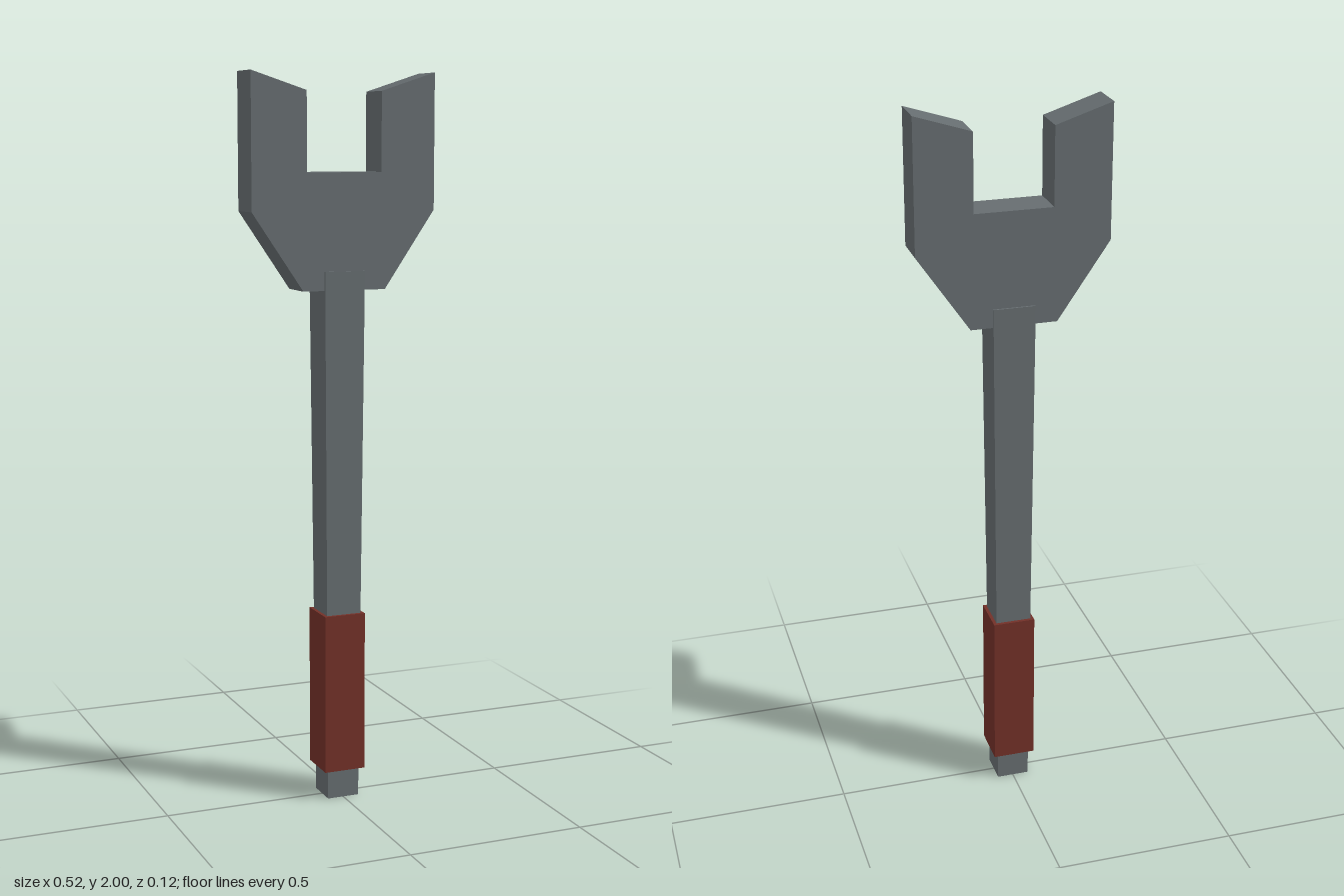
import * as THREE from 'three';

export function createModel() {
  const group = new THREE.Group();
  const steel = new THREE.MeshStandardMaterial({ name: 'steel grey', color: 0x666d70 });
  const leather = new THREE.MeshStandardMaterial({ name: 'grip red', color: 0x723028 });

  const add = (name, geometry, material, y) => {
    const mesh = new THREE.Mesh(geometry, material);
    mesh.name = name;
    mesh.position.y = y;
    group.add(mesh);
  };

  // Open-ended jaw: right half of the outline, mirrored
  const half = [[0.118, 1.424], [0.262, 1.635], [0.262, 2], [0.107, 1.95], [0.107, 1.737]];
  const outline = [...half, ...half.map(([x, y]) => [-x, y]).reverse()];
  const shape = new THREE.Shape(outline.map(([x, y]) => new THREE.Vector2(x, y)));
  const depth = 0.105;
  const jaw = new THREE.ExtrudeGeometry(shape, { depth, bevelEnabled: false });
  jaw.translate(0, 0, -depth / 2);
  add('jaw', jaw, steel, 0);

  // Square shaft, slightly thicker toward the jaw
  const shaftHeight = 1.475;
  const shaft = new THREE.BoxGeometry(1, shaftHeight, 1);
  const p = shaft.attributes.position;
  for (let i = 0; i < p.count; i++) {
    const width = p.getY(i) > 0 ? 0.115 : 0.091;
    p.setX(i, p.getX(i) * width);
    p.setZ(i, p.getZ(i) * width);
  }
  shaft.computeVertexNormals();
  add('shaft', shaft, steel, shaftHeight / 2);

  // Square grip around the lower shaft
  add('grip', new THREE.BoxGeometry(0.118, 0.447, 0.118), leather, 0.305);

  return group;
}
